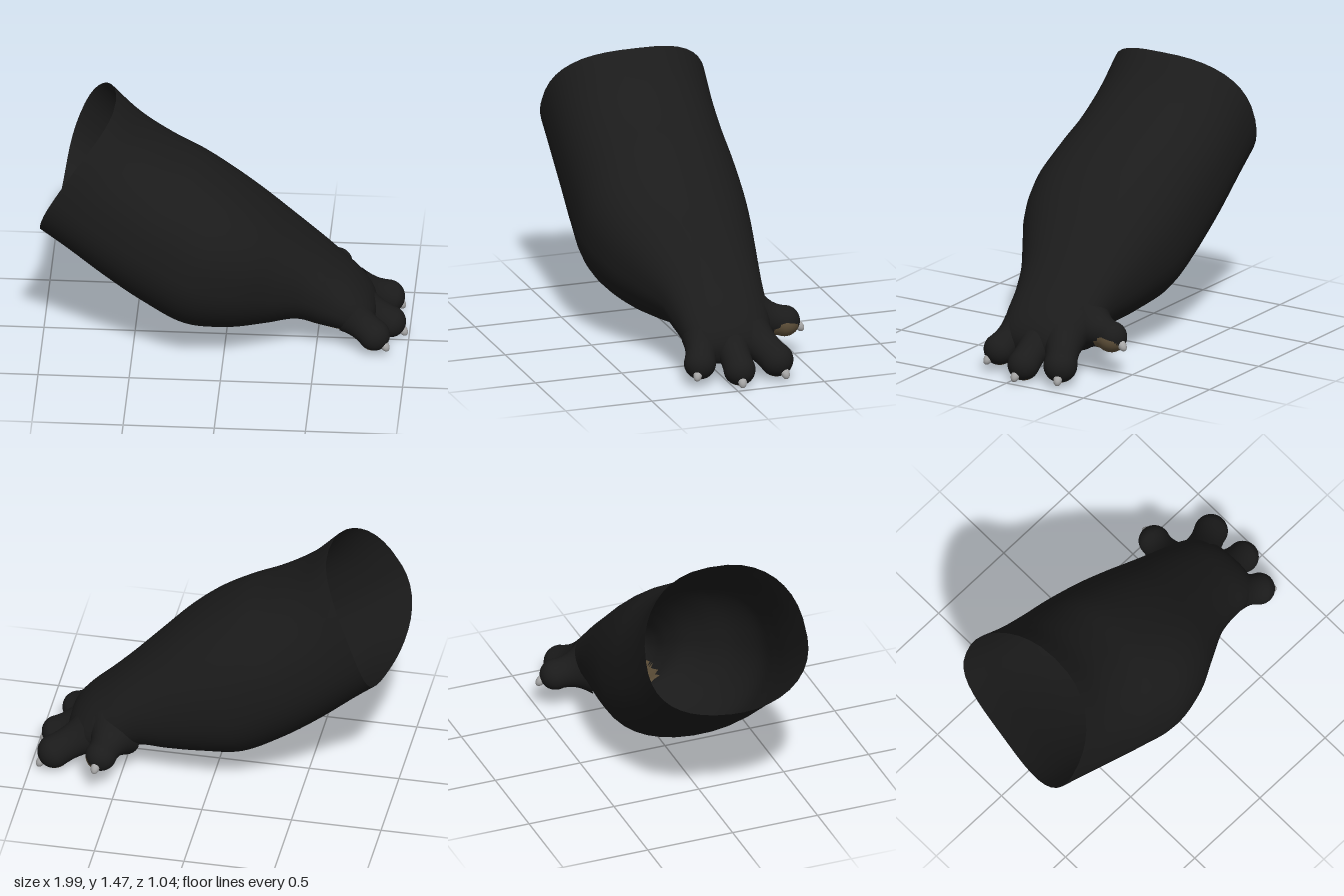
import * as THREE from 'three';

const fur = new THREE.MeshStandardMaterial({ color: 0x1b1b1b, side: THREE.DoubleSide });
fur.name = 'blackFur';
const pad = new THREE.MeshStandardMaterial({ color: 0x60513a, side: THREE.DoubleSide });
pad.name = 'brownPad';
const horn = new THREE.MeshStandardMaterial({ color: 0xa8a8a8 });
horn.name = 'greyClaw';

const V = (x, y, z) => new THREE.Vector3(x, y, z);

// Splits a geometry into a fur group and a pad group by a test on each face
function paint(geo, isPad) {
  const p = geo.attributes.position, idx = geo.index.array, parts = [[], []];
  for (let i = 0; i < idx.length; i += 3) {
    const [a, b, c] = [0, 1, 2].map(k => new THREE.Vector3().fromBufferAttribute(p, idx[i + k]));
    const n = b.clone().sub(a).cross(c.clone().sub(a)).normalize();
    const mid = a.add(b).add(c).divideScalar(3);
    parts[isPad(mid, n) ? 1 : 0].push(idx[i], idx[i + 1], idx[i + 2]);
  }
  geo.setIndex([...parts[0], ...parts[1]]);
  geo.addGroup(0, parts[0].length, 0);
  geo.addGroup(parts[0].length, parts[1].length, 1);
  return geo;
}

// Limb cross-sections: top x, top y, bottom x, bottom y, back z, front z
const sections = [
  [-0.605, 1.475, -0.95, 0.73, -0.445, 0.473],
  [-0.45, 1.315, -0.83, 0.635, -0.44, 0.477],
  [-0.28, 1.195, -0.62, 0.455, -0.44, 0.487],
  [-0.10, 1.098, -0.42, 0.305, -0.44, 0.505],
  [0.07, 0.985, -0.20, 0.18, -0.43, 0.515],
  [0.22, 0.865, 0.03, 0.15, -0.40, 0.46],
  [0.37, 0.725, 0.22, 0.15, -0.365, 0.355],
  [0.50, 0.60, 0.38, 0.16, -0.335, 0.265],
  [0.61, 0.495, 0.50, 0.12, -0.32, 0.225],
  [0.72, 0.39, 0.62, 0.095, -0.30, 0.205],
  [0.79, 0.305, 0.72, 0.085, -0.26, 0.175],
  [0.82, 0.235, 0.79, 0.10, -0.19, 0.12],
  [0.825, 0.17, 0.82, 0.165, -0.04, -0.03],
];

// Roundness of each quarter of a section: below 1 is boxier than an ellipse
function quarterPower(c, s, u) {
  if (c < 0) return s > 0 ? 1.02 : 0.9;
  return s > 0 ? 0.76 + 0.14 * u * u : 0.82 + 0.38 * u * u;
}

function limbGeometry() {
  const rings = 72, sides = 40, pos = [], index = [];
  const tops = new THREE.CatmullRomCurve3(sections.map(s => V(s[0], s[1], s[4])), false, 'catmullrom');
  const bottoms = new THREE.CatmullRomCurve3(sections.map(s => V(s[2], s[3], s[5])), false, 'catmullrom');
  for (let i = 0; i <= rings; i++) {
    const u = i / rings, t = tops.getPoint(u), b = bottoms.getPoint(u);
    // Near the opening the rim bows backward and leans toward the front side
    const fade = Math.max(0, 1 - 1.6 * u), bulge = 0.1 * fade, lean = 0.085 * fade;
    for (let j = 0; j < sides; j++) {
      const a = j / sides * Math.PI * 2, e = quarterPower(Math.cos(a), Math.sin(a), u);
      const [c, s] = [Math.cos(a), Math.sin(a)].map(v => Math.sign(v) * Math.abs(v) ** e);
      pos.push(
        (t.x + b.x) / 2 + (t.x - b.x) / 2 * c - bulge * s * s - lean * s * (1 - c) / 2,
        (t.y + b.y) / 2 + (t.y - b.y) / 2 * c,
        (t.z + b.z) / 2 + (b.z - t.z) / 2 * s);
      if (i === rings) continue;
      const k = (j + 1) % sides, p = i * sides, q = p + sides;
      index.push(p + j, p + k, q + j, p + k, q + k, q + j);
    }
  }
  const geo = new THREE.BufferGeometry();
  geo.setAttribute('position', new THREE.Float32BufferAttribute(pos, 3));
  geo.setIndex(index);
  geo.computeVertexNormals();
  // Oval sole pad under the paw, cut off along its front edge
  return paint(geo, (m, n) => n.y < -0.3 && m.y < 0.2 - (m.x - 0.4) * 0.2
    && Math.hypot((m.x - 0.56) / 0.18, (m.z - 0.01) / 0.21) < 1);
}

// Toe with a flared root and a round tip, and a round pad on the side facing padDir
function toeGeometry(root, tip, rootR, tipR, padDir, padR) {
  const dir = tip.clone().sub(root), len = dir.length();
  dir.normalize();
  const profile = [];
  for (let i = 0; i < 6; i++) {
    const k = i / 6;
    profile.push(new THREE.Vector2(tipR + (rootR - tipR) * (1 - k) ** 2 - 0.008 * Math.sin(k * Math.PI), len * k));
  }
  for (let i = 0; i <= 10; i++) {
    const a = i / 10 * Math.PI / 2;
    profile.push(new THREE.Vector2(tipR * Math.cos(a), len + tipR * Math.sin(a)));
  }
  const geo = new THREE.LatheGeometry(profile, 32);
  geo.applyQuaternion(new THREE.Quaternion().setFromUnitVectors(V(0, 1, 0), dir));
  geo.translate(root.x, root.y, root.z);
  const padCentre = tip.clone().addScaledVector(padDir, tipR);
  return paint(geo, m => m.distanceTo(padCentre) < padR);
}

export function createModel() {
  const model = new THREE.Group();
  model.name = 'pawLimb';

  const limb = new THREE.Mesh(limbGeometry(), [fur, pad]);
  limb.name = 'limb';
  model.add(limb);

  const down = V(-0.25, -1, 0).normalize();
  const toes = [
    { name: 'frontToe', root: V(0.7, 0.215, 0.105), tip: V(0.82, 0.128, 0.158), r: [0.11, 0.088], claw: V(0.882, 0.083, 0.193), padDir: down, padR: 0.065 },
    { name: 'middleToe', root: V(0.72, 0.205, -0.048), tip: V(0.895, 0.094, -0.045), r: [0.115, 0.088], claw: V(0.967, 0.046, -0.037), padDir: down, padR: 0.065 },
    { name: 'backToe', root: V(0.7, 0.21, -0.185), tip: V(0.87, 0.118, -0.268), r: [0.12, 0.093], claw: V(0.94, 0.06, -0.295), padDir: down, padR: 0.065 },
    { name: 'thumb', root: V(0.545, 0.265, -0.25), tip: V(0.58, 0.232, -0.415), r: [0.155, 0.086], claw: V(0.597, 0.2, -0.494), padDir: V(0.65, -0.75, 0).normalize(), padR: 0.08 },
  ];
  for (const t of toes) {
    const toe = new THREE.Mesh(toeGeometry(t.root, t.tip, ...t.r, t.padDir, t.padR), [fur, pad]);
    toe.name = t.name;
    // Small blunt claw at the toe tip, hooked downward
    const claw = new THREE.Mesh(new THREE.SphereGeometry(1, 14, 10), horn);
    claw.name = t.name + 'Claw';
    claw.scale.set(0.024, 0.036, 0.024);
    claw.position.copy(t.claw);
    const hook = t.claw.clone().sub(t.tip).normalize().add(V(0, -0.8, 0)).normalize();
    claw.quaternion.setFromUnitVectors(V(0, 1, 0), hook);
    model.add(toe, claw);
  }
  return model;
}
